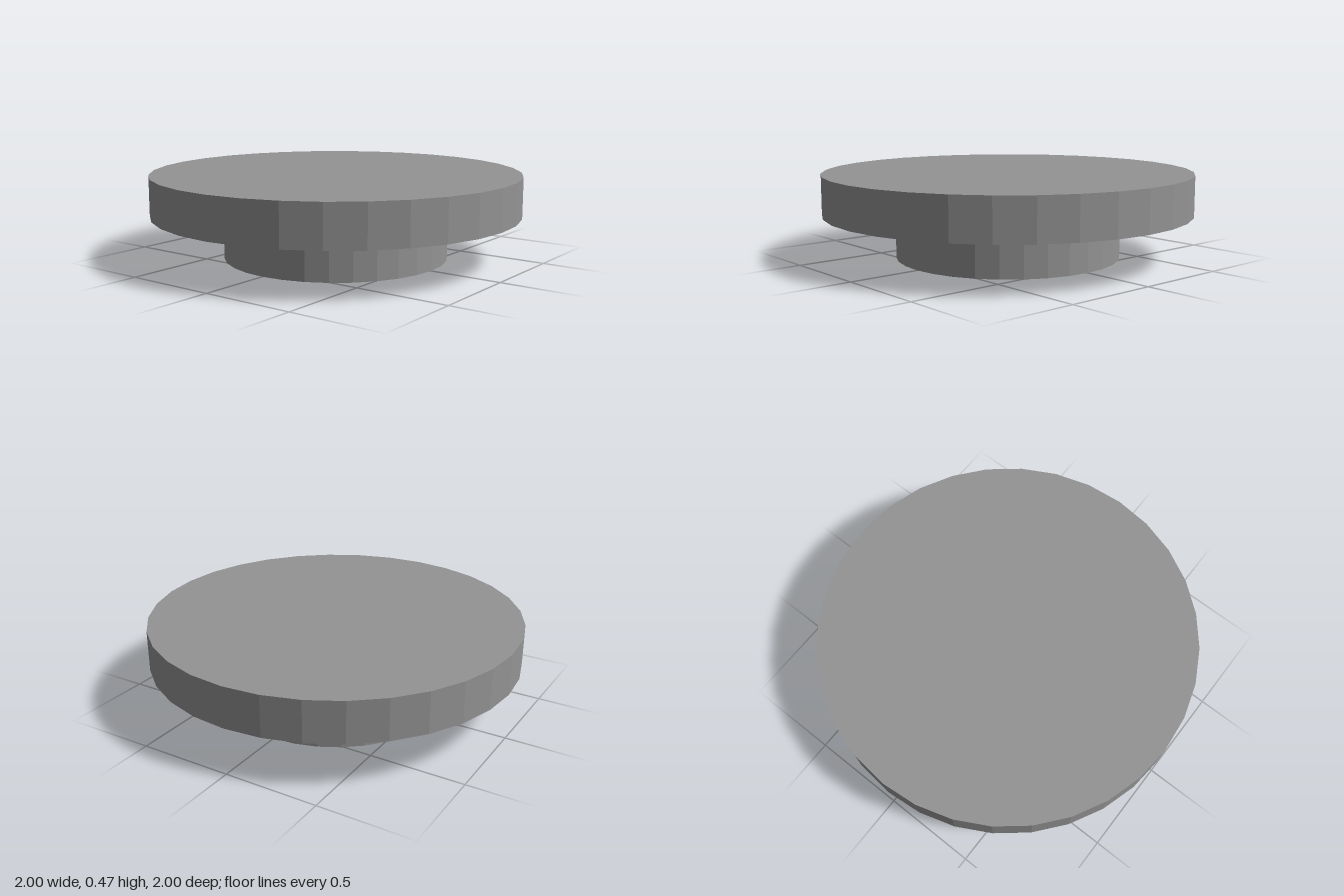
import * as THREE from 'three';

const SIDES = 32;

export function createModel() {
  const model = new THREE.Group();
  model.name = 'steppedDisc';
  const material = new THREE.MeshStandardMaterial({ color: 0x949494, flatShading: true });

  // Upright faceted disc between two heights
  function addDisc(name, radius, bottom, top) {
    const mesh = new THREE.Mesh(
      new THREE.CylinderGeometry(radius, radius, top - bottom, SIDES), material);
    mesh.name = name;
    mesh.position.y = (bottom + top) / 2;
    model.add(mesh);
  }

  addDisc('base', 0.61, 0, 0.246);
  addDisc('topDisc', 1, 0.246, 0.465);

  return model;
}
